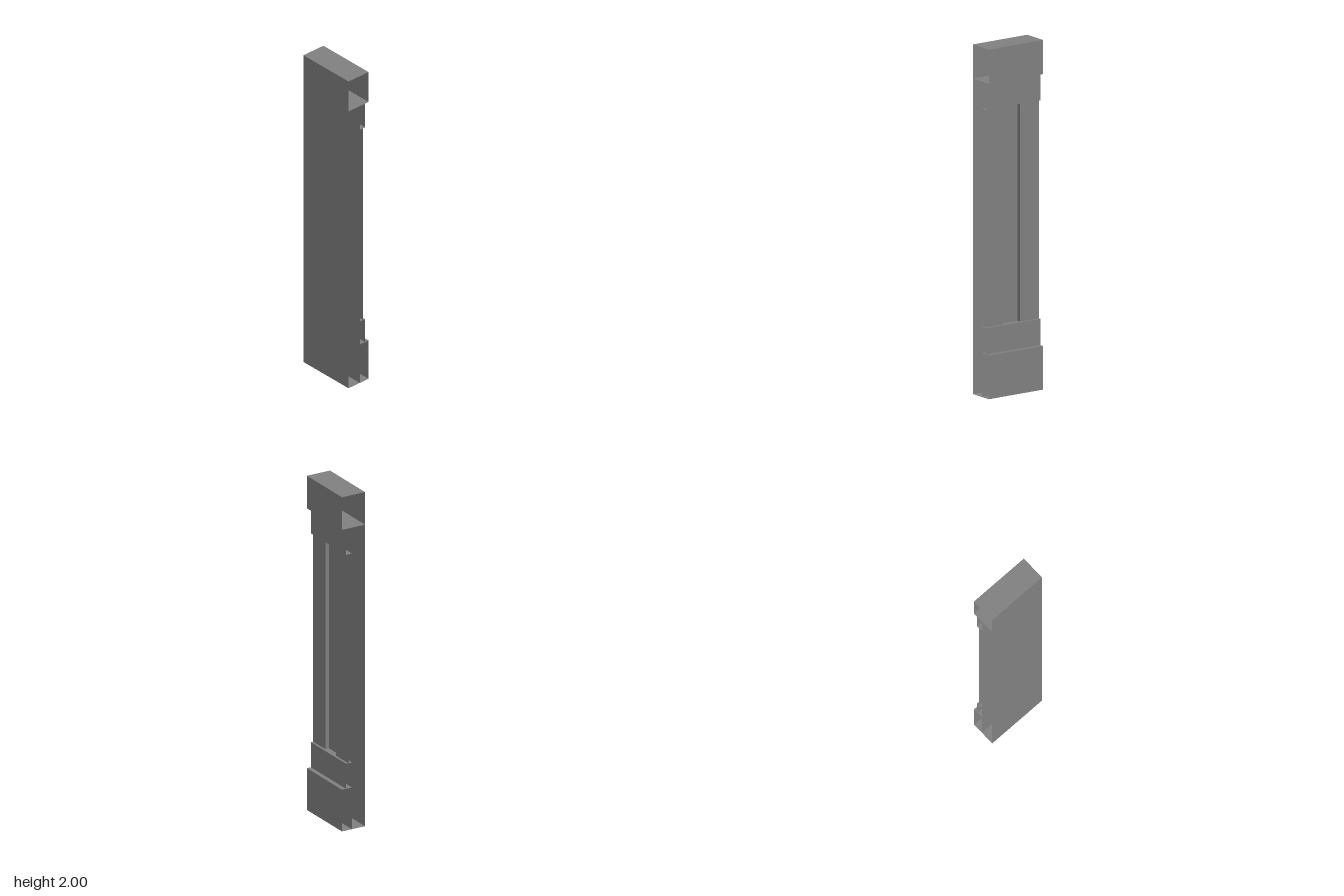
import * as THREE from 'three';

const HALF = 0.1875;                       // half width of the panel
const GROOVE = 0.058;                      // half width of the centre groove
const FRONT = 0.075, BACK = -0.075;        // outer planes
const CORE = -0.01, STILE = -0.034, RAIL = -0.049; // stepped back planes
const CAP_Y = 1.805, RAIL_TOP = 1.65, RAIL_LOW = 0.4, FOOT_Y = 0.25;

export function createModel() {
  const group = new THREE.Group();
  const material = new THREE.MeshStandardMaterial({
    color: 0x808080, flatShading: true, side: THREE.DoubleSide,
  });

  // Sweeps a [y, z] profile across the width, leaving the ends open
  function strip(name, profile, x0 = -HALF, x1 = HALF) {
    const positions = [];
    for (let i = 0; i < profile.length - 1; i++) {
      const [ya, za] = profile[i], [yb, zb] = profile[i + 1];
      positions.push(x0, ya, za, x1, ya, za, x1, yb, zb);
      positions.push(x0, ya, za, x1, yb, zb, x0, yb, zb);
    }
    const geometry = new THREE.BufferGeometry();
    geometry.setAttribute('position', new THREE.Float32BufferAttribute(positions, 3));
    geometry.computeVertexNormals();
    const mesh = new THREE.Mesh(geometry, material);
    mesh.name = name;
    group.add(mesh);
  }

  // Front board with its base and the cap folded over the top
  strip('frontBoardAndCap', [
    [0, BACK], [0, FRONT], [2, FRONT], [2, BACK], [CAP_Y, BACK], [CAP_Y, FRONT],
  ]);

  // Recessed back and the stepped bands across it
  strip('recessedBack', [[CAP_Y, CORE], [0, CORE]]);
  strip('upperRail', [[CAP_Y, RAIL], [RAIL_TOP, RAIL], [RAIL_TOP, CORE]]);
  strip('lowerRail', [[RAIL_LOW, CORE], [RAIL_LOW, RAIL], [FOOT_Y, RAIL]]);
  strip('foot', [[FOOT_Y, CORE], [FOOT_Y, BACK], [0, BACK]]);

  // Upright stiles either side of the groove, each with an inner wall
  for (const [side, s] of [['left', 1], ['right', -1]]) {
    const inner = s * GROOVE, outer = s * HALF;
    strip(side + 'Stile', [[RAIL_TOP, STILE], [RAIL_LOW, STILE]],
      Math.min(inner, outer), Math.max(inner, outer));

    const wall = new THREE.Mesh(
      new THREE.PlaneGeometry(CORE - STILE, RAIL_TOP - RAIL_LOW), material);
    wall.name = side + 'GrooveWall';
    wall.rotation.y = -s * Math.PI / 2;
    wall.position.set(inner, (RAIL_TOP + RAIL_LOW) / 2, (CORE + STILE) / 2);
    group.add(wall);
  }

  return group;
}
